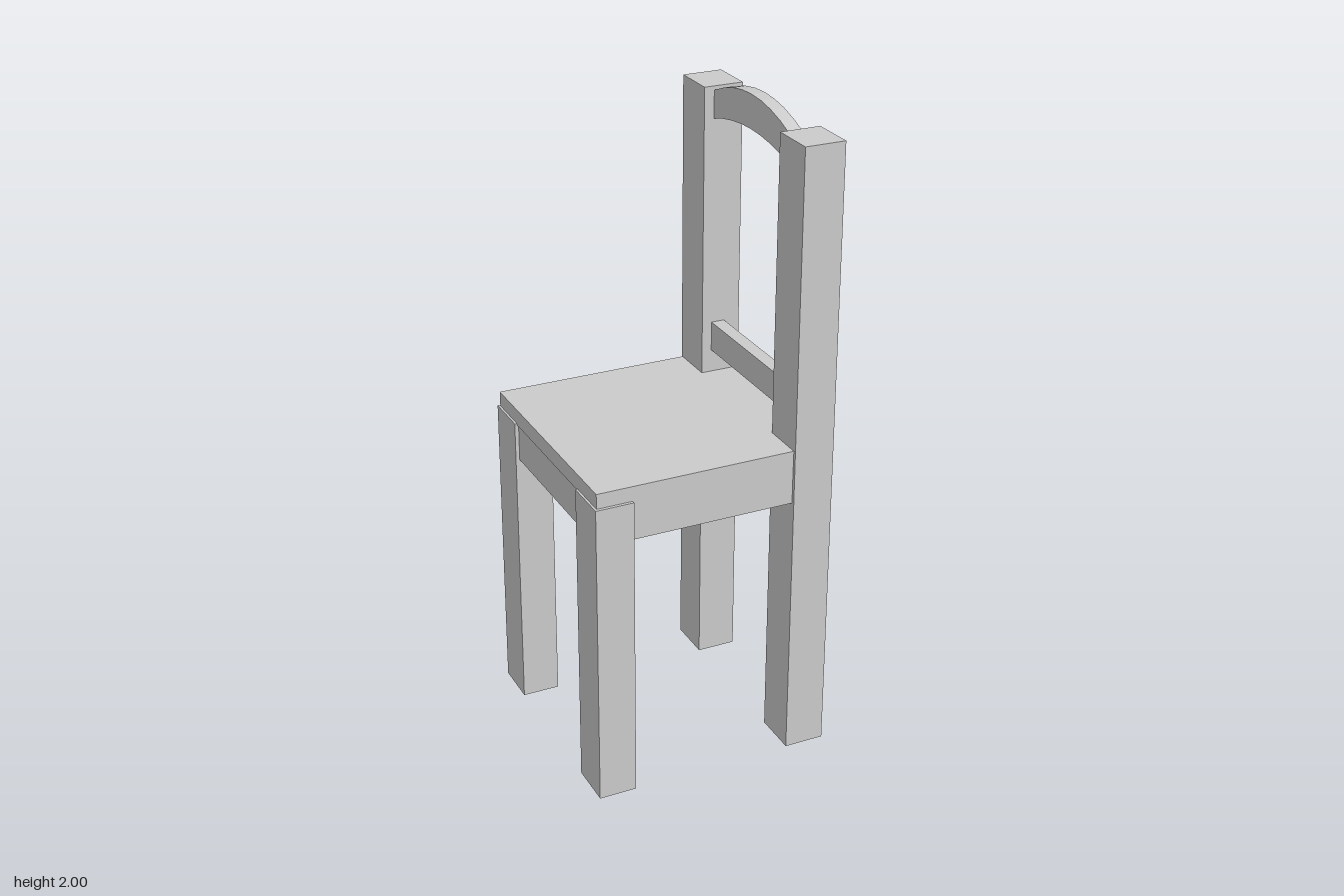
import * as THREE from 'three';

export function createModel() {
  const chair = new THREE.Group();
  chair.name = 'chair';
  const solid = new THREE.MeshStandardMaterial({ color: 0xcccccc, flatShading: true });
  const hollow = new THREE.MeshStandardMaterial({ color: 0xcccccc, flatShading: true, side: THREE.DoubleSide });

  function add(name, geometry, material = solid) {
    const mesh = new THREE.Mesh(geometry, material);
    mesh.name = name;
    chair.add(mesh);
  }

  // Box given by its limits on each axis
  function box([x0, x1], [y0, y1], [z0, z1]) {
    return new THREE.BoxGeometry(x1 - x0, y1 - y0, z1 - z0)
      .translate((x0 + x1) / 2, (y0 + y1) / 2, (z0 + z1) / 2);
  }

  // Hollow post: a box whose bottom face (the fourth) is left out
  function post(xs, height, zs) {
    const geometry = box(xs, [0, height], zs);
    const index = Array.from(geometry.index.array);
    index.splice(18, 6);
    geometry.setIndex(index);
    geometry.clearGroups();
    return geometry;
  }

  // Legs; the rear pair carries on up as the back posts (the chair faces -x)
  for (const [side, zs] of [['Left', [0.235, 0.38]], ['Right', [-0.38, -0.235]]]) {
    add('frontLeg' + side, post([-0.382, -0.263], 0.985, zs), hollow);
    add('backPost' + side, post([0.253, 0.38], 1.96, zs), hollow);
  }

  // Seat board on a solid apron block
  add('seat', box([-0.375, 0.37], [0.98, 1.032], [-0.375, 0.37]));
  add('apron', box([-0.37, 0.369], [0.86, 0.98], [-0.369, 0.369]));

  // Straight lower back rail
  const railX = [0.285, 0.328];
  const half = 0.236;
  add('lowerRail', box(railX, [1.105, 1.2], [-half, half]));

  // Arched top rail, drawn across the chair and turned to run along z
  const arch = new THREE.Shape();
  arch.moveTo(-half, 1.86);
  arch.quadraticCurveTo(0, 1.932, half, 1.86);
  arch.lineTo(half, 1.947);
  arch.quadraticCurveTo(0, 2.053, -half, 1.947);
  arch.closePath();
  const archGeometry = new THREE.ExtrudeGeometry(arch, {
    depth: railX[1] - railX[0], bevelEnabled: false, curveSegments: 8,
  });
  add('topRail', archGeometry.rotateY(Math.PI / 2).translate(railX[0], 0, 0));

  return chair;
}
